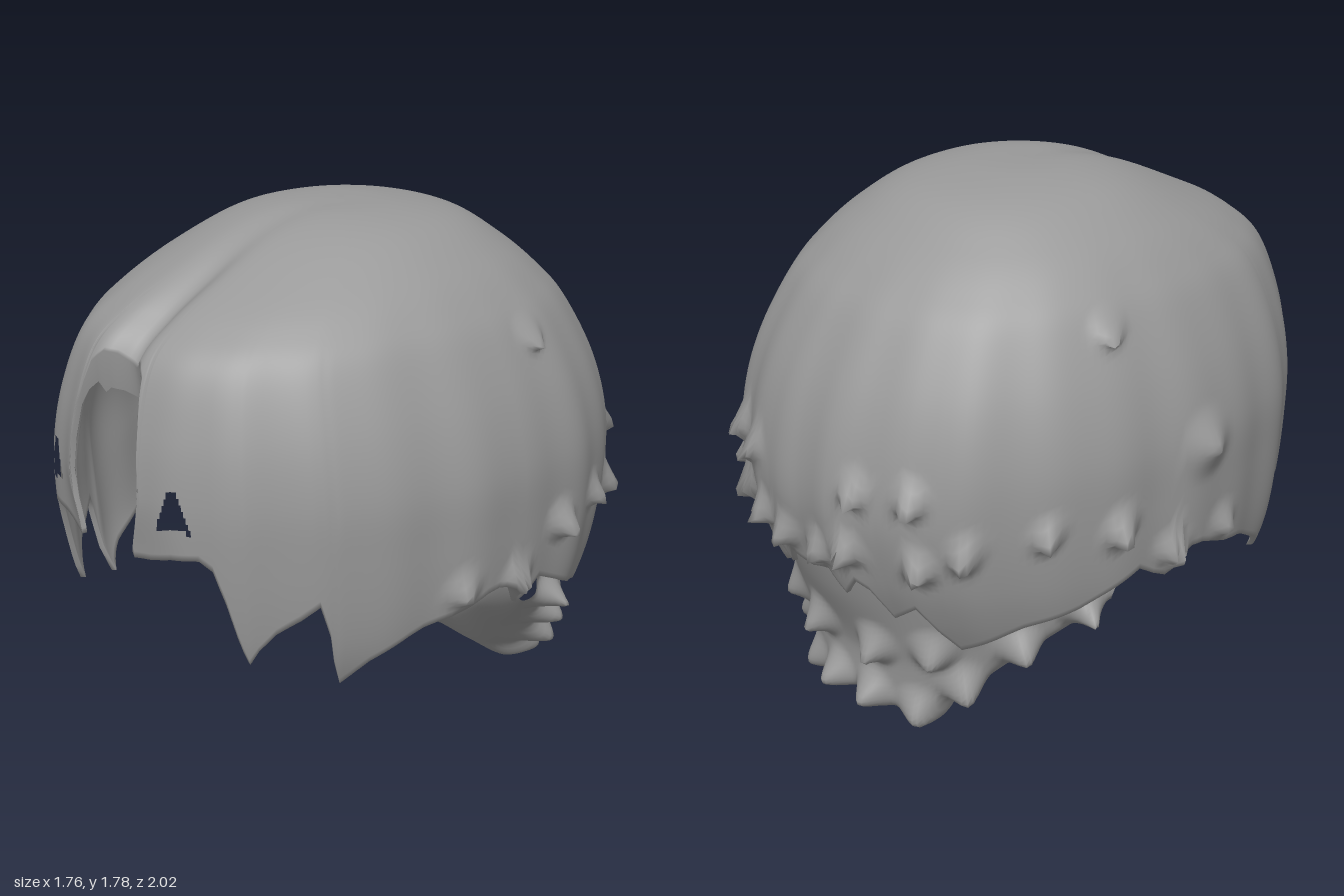
import * as THREE from 'three';
import { mergeVertices } from 'three/addons/utils/BufferGeometryUtils.js';

const { degToRad, smoothstep } = THREE.MathUtils;

// Horizontal sections from crown down: y, half width, front reach, back reach
const SECTIONS = [
  [1.765, 0, 0, 0], [1.755, 0.2, 0.19, 0.2], [1.71, 0.37, 0.37, 0.42], [1.61, 0.52, 0.6, 0.58],
  [1.51, 0.62, 0.8, 0.7], [1.4, 0.695, 0.93, 0.8], [1.2, 0.78, 1.0, 0.91], [1.0, 0.825, 1.025, 0.97],
  [0.8, 0.825, 1.02, 0.985], [0.6, 0.81, 1.0, 0.94], [0.45, 0.78, 0.97, 0.88], [0.3, 0.73, 0.88, 0.8],
];
const LAST = SECTIONS.length - 1;
const sections = new THREE.CubicInterpolant(SECTIONS.map((_, i) => i), SECTIONS.flat(), 4);

// Lower hem: angle from the front in degrees, height
const HEM = [
  [0, 1.37], [5, 1.4], [8, 1.4], [10.5, 1.36], [11.6, 1.22], [12.3, 1.0], [12.7, 0.8], [13.2, 0.78],
  [17, 0.79], [21, 0.81], [27, 0.82], [30, 0.79], [32.5, 0.68], [34.5, 0.56], [36.5, 0.46], [38.5, 0.51],
  [42, 0.57], [47, 0.62], [51, 0.67], [53, 0.56], [54.5, 0.37], [57, 0.4], [61, 0.45], [69, 0.52],
  [72, 0.54], [78, 0.56], [86, 0.61], [92, 0.62], [95, 0.53], [98, 0.55], [102, 0.59], [109, 0.54],
  [116, 0.49], [128, 0.43], [137, 0.37], [143, 0.33], [147, 0.4], [151, 0.5], [158, 0.43],
  [162, 0.54], [165, 0.57], [169, 0.5], [173, 0.58], [180, 0.55],
];

// Lock tips on the cap: angle, height, radius, length, outward share
const CAP_TIPS = [
  [107, 0.77, 0.08, 0.1, 0.9], [122, 0.79, 0.07, 0.08, 0.8], [107, 1.4, 0.08, 0.08, 0.7],
  [94, 0.63, 0.08, 0.08, 0.9], [80, 0.65, 0.08, 0.06, 0.9], [138, 0.74, 0.08, 0.09, 0.8],
  [149, 0.92, 0.08, 0.09, 0.7], [148, 0.68, 0.08, 0.09, 0.8], [162, 0.92, 0.08, 0.08, 0.6],
  [165, 0.7, 0.08, 0.09, 0.7], [174, 0.67, 0.08, 0.08, 0.6],
];
// Lock tips on the nape: position, direction, length
const NAPE_TIPS = [
  [0.09, 0.06, -0.73, 0.1, -0.1, -1, 0.12], [0.24, 0.05, -0.67, 0.5, -0.3, -0.7, 0.12],
  [0.37, 0.16, -0.6, 0.8, -0.4, -0.4, 0.13], [0.51, 0.32, -0.48, 0.9, -0.3, -0.3, 0.14],
  [0.66, 0.47, -0.34, 0.9, -0.2, -0.2, 0.13], [0.14, 0.27, -0.77, 0.2, -0.4, -0.9, 0.1],
  [0.23, 0.05, -0.6, 0.6, -0.4, 0.1, 0.07], [0.34, 0.3, -0.69, 0.5, -0.5, -0.7, 0.1],
];

// Depth index of the section at a given height
function sectionAt(y) {
  let lo = 0, hi = LAST;
  for (let k = 0; k < 22; k++) {
    const m = (lo + hi) / 2;
    if (sections.evaluate(m)[0] > y) lo = m; else hi = m;
  }
  return lo;
}

// Point on the outside of the hair
function hairPoint(deg, u) {
  const [y, w, f, b] = sections.evaluate(u);
  const a = degToRad(deg), s = Math.sin(a), c = Math.cos(a);
  const depth = smoothstep(u, 2, 8);
  const lock = 1 + depth * (0.007 * Math.sin(Math.abs(a) * 13 + 1) + 0.005 * Math.sin(a * 23));
  const full = c < 0 ? 1 + 0.03 * Math.sin(2 * a) ** 2 : 1;
  const p = new THREE.Vector3(w * s * lock * full, y, (c > 0 ? f : b) * c * lock * full);
  // Centre parting
  const part = Math.exp(-((p.x / 0.07) ** 2)) * smoothstep(p.z, -0.1, 0.6);
  p.y -= 0.02 * part;
  p.z -= 0.1 * part * smoothstep(p.z, 0.3, 0.9);
  // Fringe ends sweep towards the middle
  const sweep = smoothstep(-p.y, -1.0, -0.78) * smoothstep(p.z, 0.8, 0.95);
  p.x -= Math.sign(p.x) * 0.05 * sweep * (1 - smoothstep(Math.abs(p.x), 0.18, 0.34));
  return p;
}

function inset(p, d) {
  const dir = p.clone().sub(new THREE.Vector3(0, Math.min(p.y, 0.9), 0)).normalize();
  return p.clone().addScaledVector(dir, -d);
}

// Pull the surface out into pointed lock tips
function pullTips(p, tips) {
  const q = p.clone();
  for (const { at, dir, r, len } of tips) {
    const t = Math.max(0, 1 - p.distanceTo(at) / r) ** 1.5;
    q.addScaledVector(dir, len * t);
    q.y -= 0.2 * len * t * t;
  }
  return q;
}

// Smooth sheet from columns of points; columns run left to right seen from outside
function sheet(columns, skip = () => false) {
  const rows = columns[0].length, index = [];
  for (let i = 0; i < columns.length - 1; i++) {
    for (let j = 0; j < rows - 1; j++) {
      const a = i * rows + j, b = a + rows;
      const mid = columns[i][j].clone().add(columns[i + 1][j + 1]).multiplyScalar(0.5);
      if (!skip(mid)) index.push(a, a + 1, b, b, a + 1, b + 1);
    }
  }
  let g = new THREE.BufferGeometry().setFromPoints(columns.flat());
  g.setIndex(index);
  g = mergeVertices(g, 1e-4);
  g.computeVertexNormals();
  return g;
}

// Main cap: outside, folded over the hem into a lining
function capGeometry() {
  const half = [HEM[0]];
  HEM.slice(1).forEach(([a, y], i) => {
    const [a0, y0] = HEM[i], step = a > 13.5 && a < 28 ? 0.5 : 1.5;
    const n = Math.max(2, Math.ceil((a - a0) / step));
    for (let k = 1; k <= n; k++) half.push([a0 + (a - a0) * k / n, y0 + (y - y0) * k / n]);
  });
  const hem = [...half.slice(1).reverse().map(([a, y]) => [-a, y]), ...half];

  const tips = [1, -1].flatMap((s) => CAP_TIPS.map(([a, y, r, len, out]) => {
    const q = degToRad(a * s);
    return {
      at: hairPoint(a * s, sectionAt(y)), r, len,
      dir: new THREE.Vector3(Math.sin(q) * out, -0.4, Math.cos(q) * out).normalize(),
    };
  }));
  // Single stray bulge on one side
  tips.push({ at: hairPoint(-86, sectionAt(0.97)), r: 0.13, len: 0.06, dir: new THREE.Vector3(-1, 0, 0) });

  const R = 76;
  const columns = hem.map(([a, y]) => {
    const brow = 0.1 * (1 - smoothstep(Math.abs(a), 9.5, 11.6));
    const end = sectionAt(y), endIn = sectionAt(y - brow);
    const out = [], lining = [];
    for (let j = 0; j <= R; j++) {
      out.push(pullTips(hairPoint(a, end * j / R), tips));
      const thick = 0.03 - 0.012 * smoothstep(j / R, 0.8, 1) + brow * 0.6;
      lining.unshift(inset(hairPoint(a, endIn * j / R), thick));
    }
    return [...out, ...lining];
  });
  // Small gaps in the fringe
  const gap = (p) => {
    const cx = p.x > 0 ? 0.3 : -0.345, t = (p.y - 0.91) / 0.13;
    return p.z > 0.6 && t > 0 && t < 1 && Math.abs(p.x - cx) < 0.055 * (1 - t * 0.75);
  };
  return sheet(columns, gap);
}

// Nape: thick lower layer lofted through half curves, mirrored across x
function napeGeometry() {
  const ROWS = [
    [[0, 0.66, -0.92], [0.38, 0.64, -0.8], [0.66, 0.66, -0.5], [0.76, 0.68, -0.24]],
    [[0, 0.45, -0.86], [0.37, 0.48, -0.76], [0.64, 0.55, -0.48], [0.75, 0.62, -0.23]],
    [[0, 0.22, -0.77], [0.31, 0.25, -0.72], [0.56, 0.42, -0.5], [0.74, 0.55, -0.24]],
    [[0, 0.03, -0.74], [0.24, 0.02, -0.68], [0.53, 0.28, -0.46], [0.72, 0.48, -0.25]],
    [[0, 0.05, -0.52], [0.21, 0.04, -0.52], [0.48, 0.27, -0.35], [0.69, 0.46, -0.22]],
    [[0, 0.25, -0.39], [0.2, 0.25, -0.38], [0.47, 0.4, -0.24], [0.66, 0.6, -0.19]],
    [[0, 0.36, -0.64], [0.25, 0.37, -0.6], [0.5, 0.5, -0.41], [0.69, 0.63, -0.2]],
    [[0, 0.64, -0.89], [0.36, 0.63, -0.77], [0.63, 0.65, -0.47], [0.73, 0.67, -0.22]],
  ];
  const tips = [1, -1].flatMap((s) => NAPE_TIPS.map(([x, y, z, dx, dy, dz, len]) => ({
    at: new THREE.Vector3(x * s, y, z), r: 0.1, len,
    dir: new THREE.Vector3(dx * s, dy, dz).normalize(),
  })));
  const N = 120;
  const lines = ROWS.map((half) => {
    const pts = half.map((p) => new THREE.Vector3(...p));
    const right = pts.slice(1).map((p) => new THREE.Vector3(-p.x, p.y, p.z));
    return new THREE.CatmullRomCurve3([...pts.reverse(), ...right]).getPoints(N);
  });
  const columns = [];
  for (let i = 0; i <= N; i++) {
    const column = new THREE.CatmullRomCurve3(lines.map((l) => l[i])).getPoints(98);
    columns.push(column.map((p) => pullTips(p, tips)));
  }
  return sheet(columns);
}

export function createModel() {
  const group = new THREE.Group();
  group.name = 'hair';
  const grey = new THREE.MeshStandardMaterial({ color: 0x999999 });
  grey.name = 'hairGrey';
  for (const [name, geometry] of [['hairCap', capGeometry()], ['napeLayer', napeGeometry()]]) {
    const mesh = new THREE.Mesh(geometry, grey);
    mesh.name = name;
    group.add(mesh);
  }
  return group;
}
